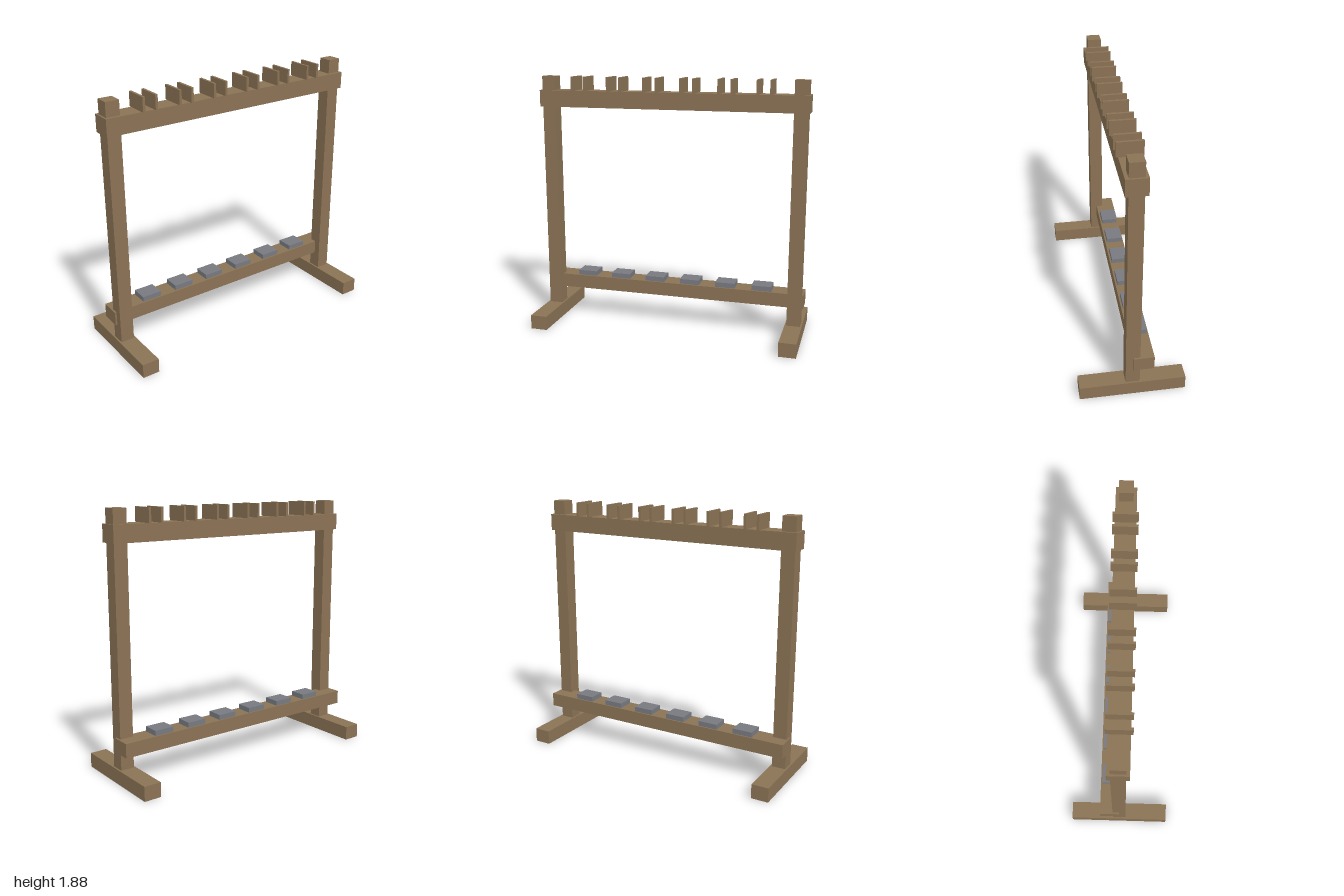
import * as THREE from 'three';

export function createModel() {
  const rack = new THREE.Group();
  rack.name = 'rack';
  const wood = new THREE.MeshStandardMaterial({ name: 'wood', color: 0x8b7355 });
  const padGrey = new THREE.MeshStandardMaterial({ name: 'padGrey', color: 0x777a80 });

  // Box given by its lower and upper limits on each axis
  function box(name, material, [x0, x1], [y0, y1], [z0, z1]) {
    const mesh = new THREE.Mesh(new THREE.BoxGeometry(x1 - x0, y1 - y0, z1 - z0), material);
    mesh.position.set((x0 + x1) / 2, (y0 + y1) / 2, (z0 + z1) / 2);
    mesh.name = name;
    rack.add(mesh);
  }

  // Feet and posts on both sides
  for (const [side, s] of [['left', 1], ['right', -1]]) {
    const span = (a, b) => (s > 0 ? [a, b] : [-b, -a]);
    box(side + 'Foot', wood, span(0.875, 1), [0, 0.105], [-0.375, 0.375]);
    box(side + 'Post', wood, span(0.888, 0.987), [0.105, 1.88], [-0.05, 0.05]);
  }

  // Cross rails
  box('topRail', wood, [-1, 1], [1.655, 1.777], [-0.073, 0.073]);
  box('bottomRail', wood, [-1, 1], [0.227, 0.33], [-0.148, 0]);

  // Six places: a rest pad below and a pair of dividers above
  for (let i = 0; i < 6; i++) {
    const x = (i - 2.5) * 0.275;
    box('restPad' + (i + 1), padGrey, [x - 0.074, x + 0.074], [0.33, 0.367], [-0.137, -0.013]);
    for (const s of [-1, 1]) {
      const d = x + s * 0.047;
      box('divider' + (i + 1) + (s > 0 ? 'Left' : 'Right'), wood,
        [d - 0.009, d + 0.009], [1.777, 1.88], [-0.088, 0.088]);
    }
  }
  return rack;
}
